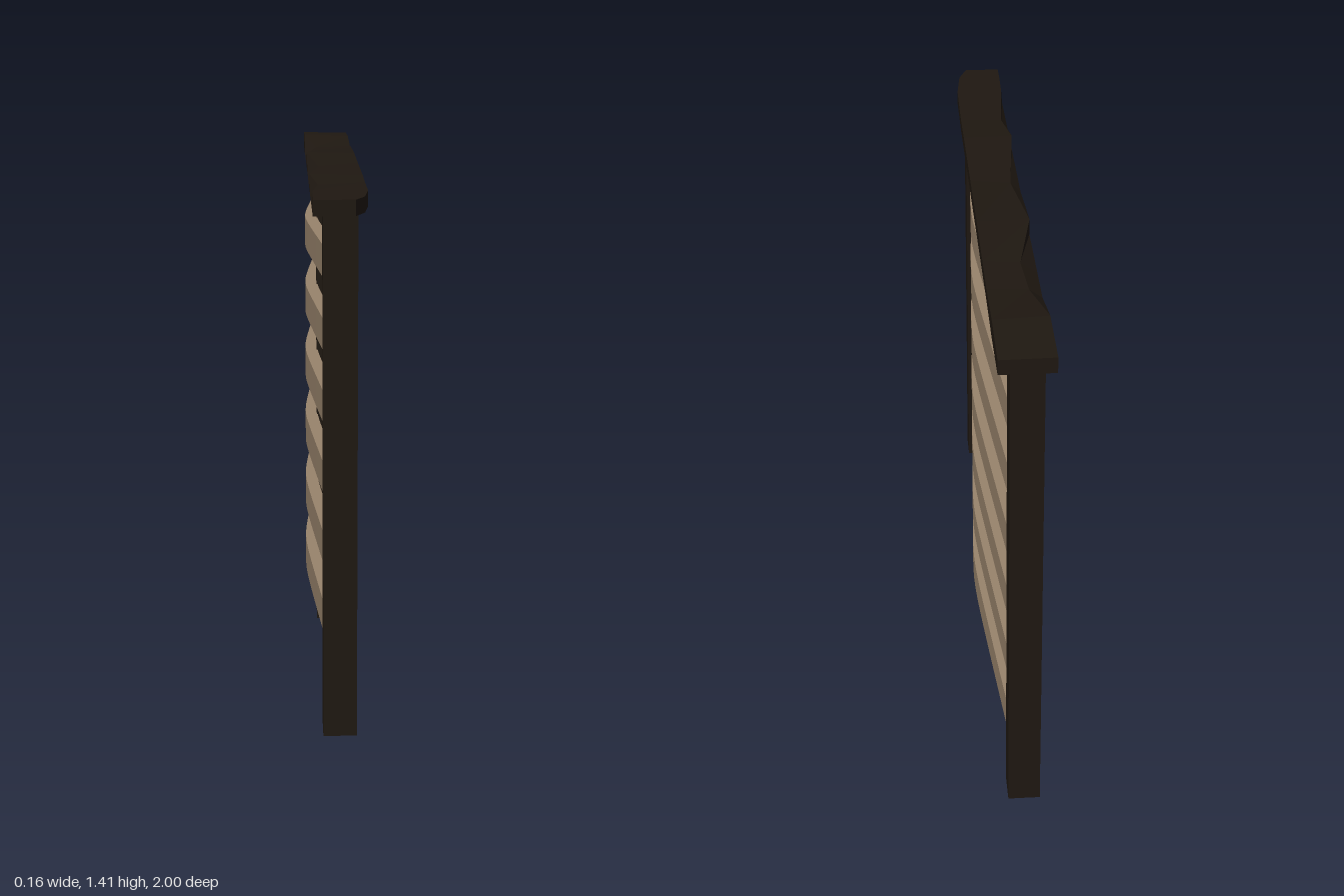
import * as THREE from 'three';

const dark = new THREE.MeshStandardMaterial({ color: 0x1f1811, flatShading: true });
const wood = new THREE.MeshStandardMaterial({ color: 0x99846c });

// Slat bent round the middle post: straight towards the ends, softly rounded at the centre
function slatGeometry(side) {
  const geo = new THREE.BoxGeometry(0.035, 0.086, 1.77, 1, 1, 32);
  const p = geo.attributes.position;
  const bend = 0.07;
  for (let i = 0; i < p.count; i++) {
    const d = Math.hypot(p.getZ(i), 0.12) - 0.12;
    p.setX(i, p.getX(i) + side * 0.06 * (1 - d / 0.775));
  }
  geo.computeVertexNormals();
  return geo;
}

// Rough-hewn cap: four-cornered cross-sections joined along z
// [z, top left x, top left y, right x, top right y, bottom y]
function capGeometry() {
  const stations = [
    [1.0, -0.07, 1.4, 0.035, 1.4, 1.36],
    [0.93, -0.07, 1.4, 0.06, 1.4, 1.36],
    [0.8, -0.067, 1.4, 0.073, 1.4, 1.36],
    [0.57, -0.05, 1.39, 0.075, 1.396, 1.36],
    [0.41, -0.07, 1.402, 0.075, 1.4, 1.36],
    [0.08, -0.04, 1.39, 0.075, 1.4, 1.36],
    [-0.21, -0.07, 1.405, 0.075, 1.402, 1.36],
    [-0.45, -0.025, 1.39, 0.075, 1.397, 1.36],
    [-0.6, -0.035, 1.385, 0.075, 1.391, 1.36],
    [-0.8, -0.07, 1.411, 0.075, 1.405, 1.354],
    [-1.0, -0.07, 1.402, 0.075, 1.4, 1.36],
  ];
  const pos = [], index = [];
  for (const [z, xl, yl, xr, yr, yb] of stations) {
    pos.push(-0.07, yb, z, xr, yb, z, xr, yr, z, xl, yl, z);
  }
  for (let s = 0; s < stations.length - 1; s++) {
    for (let k = 0; k < 4; k++) {
      const a = s * 4 + k, b = s * 4 + (k + 1) % 4;
      index.push(a, a + 4, b, b, a + 4, b + 4);
    }
  }
  const e = (stations.length - 1) * 4;
  index.push(0, 1, 2, 0, 2, 3, e, e + 2, e + 1, e, e + 3, e + 2);
  const geo = new THREE.BufferGeometry();
  geo.setAttribute('position', new THREE.Float32BufferAttribute(pos, 3));
  geo.setIndex(index);
  const flat = geo.toNonIndexed();
  flat.computeVertexNormals();
  return flat;
}

export function createModel() {
  const group = new THREE.Group();
  const add = (name, geo, mat, x, y, z) => {
    const mesh = new THREE.Mesh(geo, mat);
    mesh.name = name;
    mesh.position.set(x, y, z);
    group.add(mesh);
  };

  // Posts
  const post = new THREE.BoxGeometry(0.087, 1.37, 0.087);
  add('frontPost', post, dark, -0.001, 0.685, 0.918);
  add('middlePost', post, dark, -0.001, 0.685, 0.002);
  add('backPost', post, dark, -0.001, 0.685, -0.918);

  // Woven slats, passing the middle post on alternate sides
  const left = slatGeometry(1), right = slatGeometry(-1);
  for (let i = 0; i < 13; i++) {
    add('slat' + (i + 1), i % 2 ? right : left, wood, 0, 0.11 + i * 0.0985, 0);
  }

  // Cap rail
  add('capRail', capGeometry(), dark, 0, 0, 0);
  return group;
}
